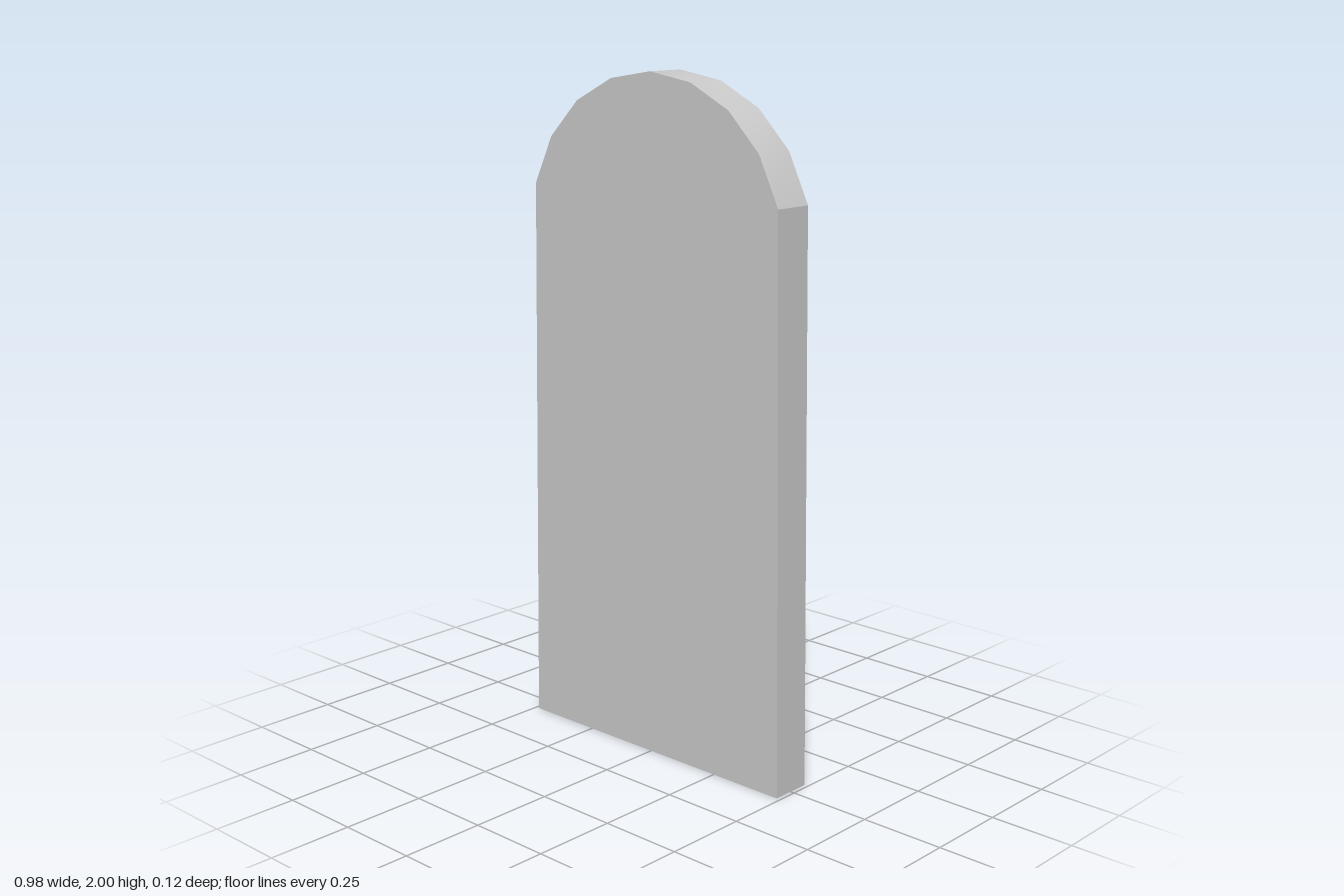
import * as THREE from 'three';
import { toCreasedNormals } from 'three/addons/utils/BufferGeometryUtils.js';

const THICKNESS = 0.124;

export function createModel() {
  const group = new THREE.Group();
  group.name = 'archedSlab';

  // Right half of the outline, from the base to just below the crown
  const half = [[0.488, 0], [0.463, 1.66], [0.395, 1.8], [0.287, 1.908], [0.15, 1.976]];
  const mirrored = half.map(([x, y]) => [-x, y]).reverse();
  const outline = [...half, [0, 2], ...mirrored].map(([x, y]) => new THREE.Vector2(x, y));

  // Upright slab with slightly tapered sides and a faceted round top
  const extruded = new THREE.ExtrudeGeometry(new THREE.Shape(outline), {
    depth: THICKNESS,
    bevelEnabled: false,
  });
  extruded.translate(0, 0, -THICKNESS / 2);

  // Smooth over the arch, sharp at the shoulders, faces and base
  const geometry = toCreasedNormals(extruded, THREE.MathUtils.degToRad(23));
  const slab = new THREE.Mesh(geometry, new THREE.MeshStandardMaterial({ color: 0xcccccc }));
  slab.name = 'slab';
  group.add(slab);
  return group;
}
